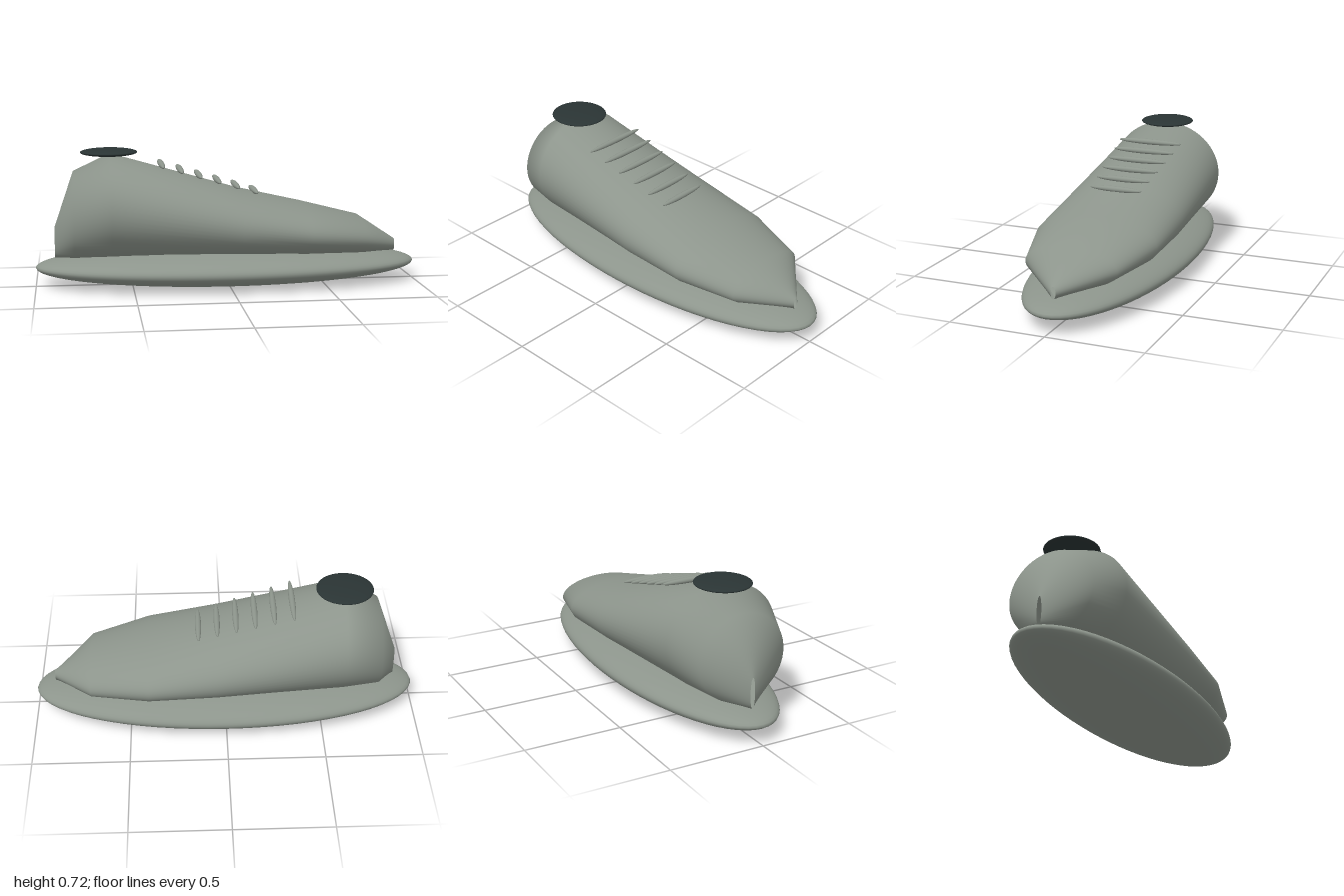
import * as THREE from 'three';

const canvasGrey = new THREE.MeshStandardMaterial({ color: 0x8d958c, side: THREE.DoubleSide });
canvasGrey.name = 'canvasGrey';
const collarDark = new THREE.MeshStandardMaterial({ color: 0x2a3434 });
collarDark.name = 'collarDark';

// Squashed sphere with the given centre and radii
function ellipsoid(name, material, [x, y, z], [rx, ry, rz], segments = 48) {
  const geometry = new THREE.SphereGeometry(1, segments, segments / 2);
  geometry.scale(rx, ry, rz);
  const mesh = new THREE.Mesh(geometry, material);
  mesh.name = name;
  mesh.position.set(x, y, z);
  return mesh;
}

// Open tube along x, with an elliptical section at each station
function shoeUpper() {
  const bottom = 0.15;
  // x, top height, half width: toe to heel
  const stations = [
    [0.9, 0.212, 0.013],
    [0.7, 0.345, 0.242],
    [0.4, 0.42, 0.328],
    [0.05, 0.5, 0.335],
    [-0.61, 0.69, 0.308],
    [-0.8, 0.6, 0.235],
    [-0.9, 0.31, 0.013],
  ];
  const sides = 64;
  // The seam starts underneath, where the sole hides it
  const geometry = new THREE.CylinderGeometry(1, 1, 1, sides, stations.length - 1, true, Math.PI / 2);
  const position = geometry.attributes.position;
  for (let i = 0; i < position.count; i++) {
    const [x, top, halfWidth] = stations[Math.floor(i / (sides + 1))];
    const up = -position.getX(i);
    const across = position.getZ(i);
    position.setXYZ(i, x, (top + bottom) / 2 + up * (top - bottom) / 2, across * halfWidth);
  }
  geometry.computeVertexNormals();
  const mesh = new THREE.Mesh(geometry, canvasGrey);
  mesh.name = 'upper';
  return mesh;
}

export function createModel() {
  const shoe = new THREE.Group();
  shoe.name = 'shoe';

  shoe.add(ellipsoid('sole', canvasGrey, [0, 0.1, 0], [1, 0.1, 0.36], 64));
  shoe.add(shoeUpper());
  shoe.add(ellipsoid('collar', collarDark, [-0.615, 0.697, 0], [0.147, 0.02, 0.142]));

  // Laces shrink towards the toe
  const laces = new THREE.Group();
  laces.name = 'laces';
  for (let i = 0; i < 6; i++) {
    const centre = [-0.345 + i * 0.0968, 0.632 - i * 0.0286, 0];
    laces.add(ellipsoid('lace', canvasGrey, centre, [0.016, 0.015, 0.18 - i * 0.0076], 24));
  }
  shoe.add(laces);

  return shoe;
}
